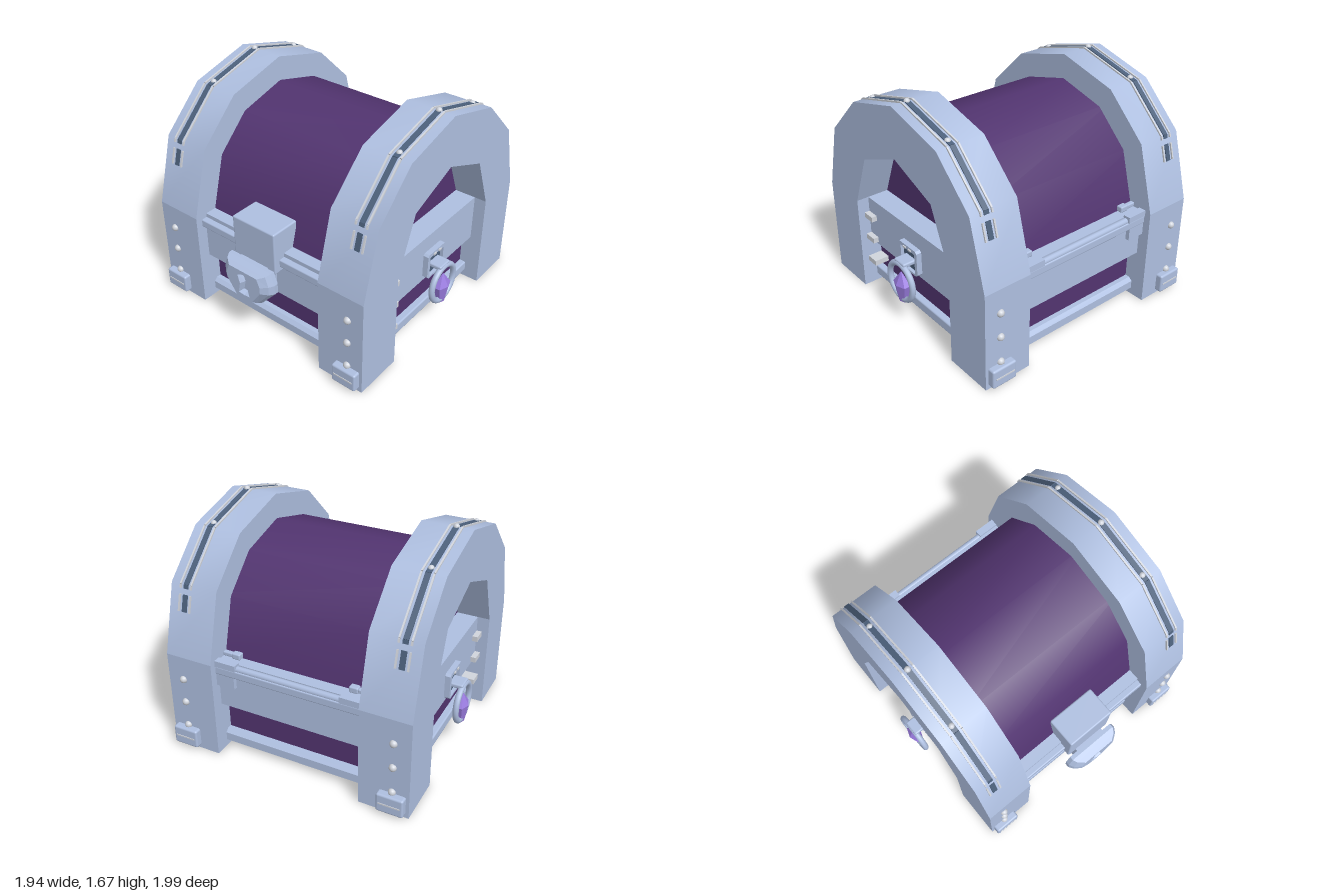
import * as THREE from 'three';
import { toCreasedNormals } from 'three/addons/utils/BufferGeometryUtils.js';
import { RoundedBoxGeometry } from 'three/addons/geometries/RoundedBoxGeometry.js';

const material = (name, color, extra = {}) => Object.assign(new THREE.MeshStandardMaterial({ color, ...extra }), { name });

export function createModel() {
  const steel = material('steel', 0xaebfe0);
  const purple = material('purple panel', 0x523470);
  const slate = material('dark slate', 0x4d617c);
  const pale = material('pale metal', 0xd0d4dc);
  const crystal = material('crystal', 0x9a7ce0, { flatShading: true });
  const root = new THREE.Group();
  root.name = 'chest';
  const CZ = -0.03; // middle of the chest in z

  const add = (name, geo, mat) => {
    const m = new THREE.Mesh(geo, mat);
    m.name = name;
    root.add(m);
  };
  // Box given by its limits on each axis
  const box = (name, mat, x0, x1, y0, y1, z0, z1, round = 0) => {
    const w = Math.abs(x1 - x0), h = y1 - y0, d = Math.abs(z1 - z0);
    const geo = round ? new RoundedBoxGeometry(w, h, d, 2, round) : new THREE.BoxGeometry(w, h, d);
    geo.translate((x0 + x1) / 2, (y0 + y1) / 2, (z0 + z1) / 2);
    add(name, geo, mat);
  };
  const vectors = pts => pts.map(p => new THREE.Vector2(...p));
  const shapeOf = pts => new THREE.Shape(vectors(pts));
  // Extrude a (z, y) outline along x
  const extrudeX = (shape, x0, x1, crease = 0.6) => {
    const geo = new THREE.ExtrudeGeometry(shape, { depth: x1 - x0, bevelEnabled: false });
    geo.rotateY(-Math.PI / 2).translate(x1, 0, 0);
    return toCreasedNormals(geo, crease);
  };
  const rivet = (x, y, z, r = 0.027) => {
    const geo = new THREE.SphereGeometry(r, 12, 8);
    geo.translate(x, y, z);
    add('rivet', geo, pale);
  };

  // Arch outlines from front to back
  const half = [[0.91, 0.73], [0.775, 1.22], [0.465, 1.52], [0, 1.645]];
  const innerHalf = [[0.547, 0.73], [0.387, 1.125], [0, 1.28]];
  const arch = h => [
    ...h.map(([z, y]) => [CZ + z, y]),
    ...h.slice(0, -1).reverse().map(([z, y]) => [CZ - z, y]),
  ];
  const outer = arch(half), inner = arch(innerHalf);
  const barrel = arch(half.map(([z, y]) => [z * 0.8, 0.73 + (y - 0.73) * 0.8]));

  // Lid and body core
  add('lid barrel', extrudeX(shapeOf(barrel), -0.66, 0.66), purple);
  box('body core', purple, -0.75, 0.75, 0.005, 0.72, CZ - 0.74, CZ + 0.74);
  box('floor', steel, -0.75, 0.75, 0, 0.006, CZ - 0.74, CZ + 0.74);

  // Front and back panels and rails
  for (const f of [1, -1]) {
    const z = d => CZ + f * d;
    const face = f > 0 ? 'front' : 'back';
    box(face + ' panel', steel, -0.56, 0.56, 0.375, 0.65, z(0.6), z(0.825));
    box(face + ' upper rail', steel, -0.56, 0.56, 0.64, 0.7, z(0.6), z(0.86), 0.01);
    box(face + ' rail cap', steel, -0.56, 0.56, 0.67, 0.73, z(0.6), z(0.815));
    const skirt = shapeOf([[z(0.7), 0.05], [z(0.8), 0.05], [z(0.8), 0.11], [z(0.775), 0.135], [z(0.7), 0.135]]);
    add(face + ' lower rail', extrudeX(skirt, -0.56, 0.56, 0.3), steel);
  }

  // Back hinge
  const rod = new THREE.CylinderGeometry(0.024, 0.024, 1.1, 12);
  rod.rotateZ(Math.PI / 2).translate(0, 0.705, -0.86);
  add('hinge rod', rod, steel);

  for (const s of [1, -1]) {
    const x0 = s > 0 ? 0.55 : -0.91;

    // Lid arch with corner posts below
    const ring = shapeOf([...outer, ...inner.slice().reverse()]);
    add('lid arch', extrudeX(ring, x0, x0 + 0.36), steel);
    for (const f of [1, -1]) {
      const z = d => CZ + f * d;
      box('corner post', steel, s * 0.55, s * 0.91, 0, 0.73, z(0.547), z(0.91));
      box('foot bracket', steel, s * 0.695, s * 0.887, 0.025, 0.165, z(0.88), z(0.96), 0.015);
      box('bracket slot', pale, s * 0.715, s * 0.865, 0.09, 0.1, z(0.955), z(0.964));
      for (const y of [0.175, 0.37, 0.555]) rivet(s * 0.79, y, z(0.91));
    }

    // Side panel and lower rail
    box('side panel', steel, s * 0.6, s * 0.82, 0.375, 0.73, -0.6, 0.54);
    box('side lower rail', steel, s * 0.7, s * 0.8, 0.05, 0.13, -0.6, 0.54, 0.012);
    for (const y of [0.22, 0.415, 0.595])
      box('side tab', pale, s * 0.74, s * 0.86, y - 0.02, y + 0.02, 0.42, 0.53);

    // Dark strip and twin rods over the arch
    const bar = (name, mat, a, b, x, w, t) => {
      const dz = b[0] - a[0], dy = b[1] - a[1], len = Math.hypot(dz, dy);
      const geo = new THREE.BoxGeometry(w, t, len);
      geo.rotateX(-Math.atan2(dy, dz)).translate(x, (a[1] + b[1]) / 2, (a[0] + b[0]) / 2);
      add(name, geo, mat);
    };
    for (const f of [1, -1]) {
      const at = ([z, y]) => [CZ + f * z, y];
      const runs = [[[0.825, 1.04], [0.793, 1.155]], [[0.782, 1.195], half[1]], [half[1], half[2]], [half[2], half[3]]];
      for (const [a, b] of runs) {
        bar('arch strip', slate, at(a), at(b), s * 0.79, 0.038, 0.012);
        for (const o of [-0.042, 0.042]) bar('arch rod', pale, at(a), at(b), s * 0.79 + o, 0.012, 0.022);
      }
      rivet(s * 0.79, 1.53, CZ + f * 0.42, 0.022);
    }
    rivet(s * 0.79, 1.645, CZ, 0.022);

    // Hinge blocks
    box('hinge block', steel, s * 0.41, s * 0.555, 0.55, 0.69, -0.8, -0.885);
    box('hinge plate', steel, s * 0.39, s * 0.555, 0.7, 0.745, -0.84, -0.895);
    box('hinge knuckle', steel, s * 0.41, s * 0.475, 0.73, 0.775, -0.75, -0.8, 0.01);
    box('hinge pin', steel, s * 0.47, s * 0.55, 0.735, 0.768, -0.757, -0.793, 0.01);

    // Handle mount: framed plate with a dark inset
    const frame = shapeOf([[0.065, 0.605], [-0.125, 0.605], [-0.14, 0.59], [-0.14, 0.42], [-0.12, 0.4], [0.06, 0.4], [0.08, 0.42], [0.08, 0.59]]);
    frame.holes.push(new THREE.Path(vectors([[0.052, 0.575], [-0.112, 0.575], [-0.112, 0.415], [0.052, 0.415]])));
    add('handle frame', extrudeX(frame, s > 0 ? 0.815 : -0.86, s > 0 ? 0.86 : -0.815, 0.3), steel);
    box('handle inset', slate, s * 0.815, s * 0.835, 0.41, 0.58, -0.115, 0.055);
    box('handle lug', steel, s * 0.82, s * 0.935, 0.478, 0.512, CZ - 0.06, CZ + 0.06, 0.012);
    for (const o of [-0.03, 0.03])
      box('handle peg', pale, s * 0.82, s * 0.868, 0.578, 0.592, CZ + o - 0.015, CZ + o + 0.015);

    // Ring handle and hanging crystal
    const loop = new THREE.TorusGeometry(0.139, 0.022, 10, 32);
    loop.rotateY(Math.PI / 2).translate(s * 0.922, 0.345, CZ);
    add('ring handle', loop, steel);
    const gem = new THREE.LatheGeometry(vectors([[0, 0.185], [0.042, 0.187], [0.08, 0.325], [0, 0.425]]), 6);
    gem.rotateY(Math.PI / 6).scale(0.62, 1, 1).translate(s * 0.92, 0, CZ);
    add('crystal', gem, crystal);
  }

  // Lock hasp
  box('lock hasp', steel, -0.185, 0.185, 0.6, 0.92, 0.65, 0.875, 0.012);
  box('lock mount', steel, -0.12, 0.12, 0.42, 0.63, 0.78, 0.91);

  // Lock body: shield outlines stepping up to a flat face with a sunken keyhole
  const mirror = pts => [...pts, ...pts.filter(p => p[0] > 0).reverse().map(([x, y]) => [-x, y])];
  const base = mirror([[0, 0.33], [0.1, 0.355], [0.22, 0.49], [0.22, 0.56], [0.19, 0.645]]);
  const shoulder = mirror([[0, 0.345], [0.09, 0.368], [0.198, 0.493], [0.198, 0.557], [0.172, 0.63]]);
  const crown = mirror([[0, 0.375], [0.07, 0.39], [0.15, 0.5], [0.15, 0.55], [0.125, 0.612]]);
  const keyhole = mirror([[0, 0.415], [0.05, 0.42], [0.032, 0.5], [0.05, 0.565], [0, 0.588]]);
  const keyFloor = mirror([[0, 0.427], [0.034, 0.43], [0.018, 0.5], [0.034, 0.548], [0, 0.565]]);
  const slope = [];
  const wall = (P, Q, zp, zq) => P.forEach((p, i) => {
    const j = (i + 1) % P.length;
    const a = [...p, zp], b = [...P[j], zp], c = [...Q[j], zq], d = [...Q[i], zq];
    slope.push(...a, ...b, ...c, ...a, ...c, ...d);
  });
  wall(base, base, 0.895, 0.925);
  wall(base, shoulder, 0.925, 0.96);
  wall(shoulder, crown, 0.96, 0.995);
  wall(keyhole, keyFloor, 0.995, 0.955);
  const rim = new THREE.BufferGeometry();
  rim.setAttribute('position', new THREE.Float32BufferAttribute(slope, 3));
  rim.computeVertexNormals();
  add('lock rim', rim, steel);
  // Flat faces of the lock
  const flat = (name, shape, z) => {
    const geo = new THREE.ShapeGeometry(shape);
    geo.translate(0, 0, z);
    add(name, geo, steel);
  };
  const faceShape = shapeOf(crown);
  faceShape.holes.push(new THREE.Path(vectors(keyhole)));
  flat('lock face', faceShape, 0.995);
  flat('keyhole floor', shapeOf(keyFloor), 0.955);
  const rear = new THREE.ShapeGeometry(shapeOf(base));
  rear.rotateY(Math.PI).translate(0, 0, 0.895);
  add('lock rear', rear, steel);

  return root;
}
